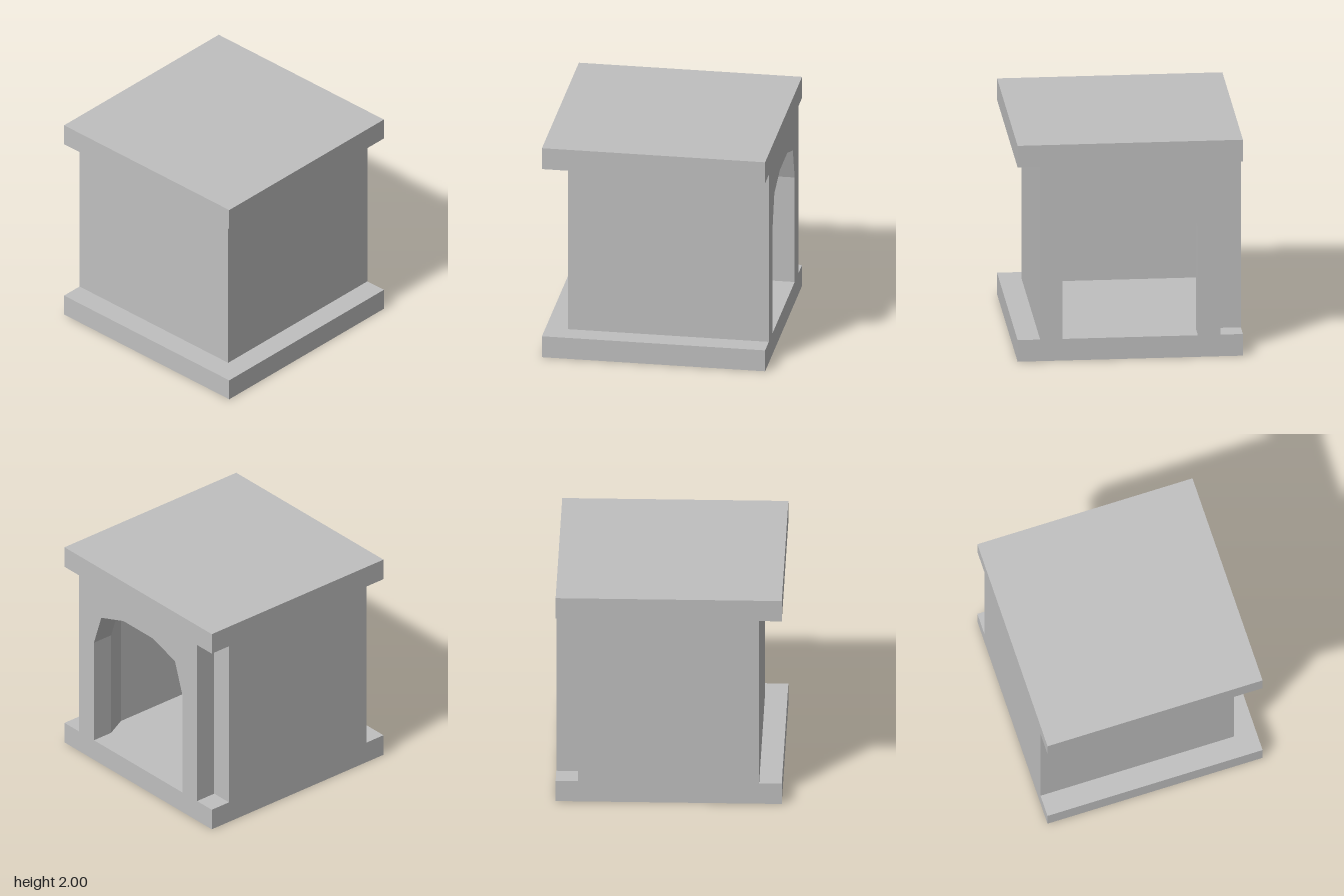
import * as THREE from 'three';

export function createModel() {
  const model = new THREE.Group();
  model.name = 'archedChamber';

  const stone = new THREE.MeshStandardMaterial({ color: 0xbfbfbf });
  stone.name = 'grey stone';

  const slab = 0.2;           // thickness of floor and roof
  const wallHeight = 1.6;

  function add(name, geometry) {
    const mesh = new THREE.Mesh(geometry, stone);
    mesh.name = name;
    model.add(mesh);
  }
  function extrude(points, depth) {
    const shape = new THREE.Shape(points.map(([x, y]) => new THREE.Vector2(x, y)));
    return new THREE.ExtrudeGeometry(shape, { depth, bevelEnabled: false });
  }

  // Square floor and roof slabs
  for (const [name, y] of [['floorSlab', slab / 2], ['roofSlab', 2 - slab / 2]]) {
    add(name, new THREE.BoxGeometry(2, slab, 2).translate(0, y, 0));
  }

  // Front, back and closed side walls: a C-shaped plan (x, z) with splayed inner corners
  const plan = [
    [0.8, 0.8], [-0.8, 0.8], [-0.8, -1], [0.8, -1],
    [0.8, -0.6], [0.6, -0.8], [-0.7, -0.8], [-0.7, 0.7], [0.6, 0.7], [0.8, 0.6],
  ];
  add('chamberWalls', extrude(plan.map(([x, z]) => [x, -z]), wallHeight)
    .rotateX(-Math.PI / 2)
    .translate(0, slab, 0));

  // Side wall with a faceted arch; its half profile is mirrored
  const half = [[0.8, 1.8], [0.8, 0.2], [0.6, 0.2], [0.6, 1.2], [0.5, 1.5], [0.2, 1.6]];
  const mirrored = half.map(([z, y]) => [-z, y]).reverse();
  add('archWall', extrude([...half, ...mirrored], 0.2)
    .rotateY(Math.PI / 2)
    .translate(0.8, 0, 0));

  return model;
}
